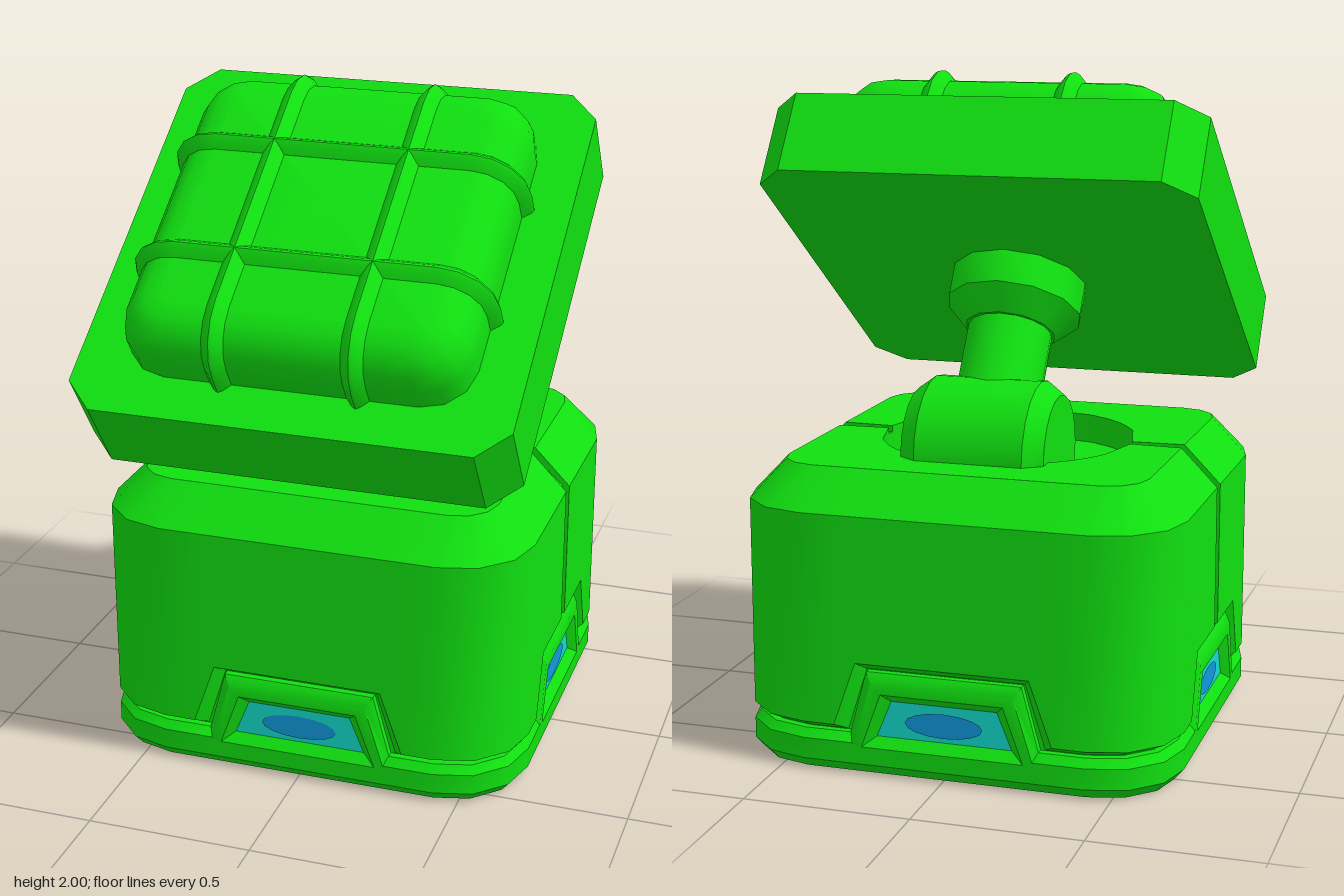
import * as THREE from 'three';
import { toCreasedNormals } from 'three/addons/utils/BufferGeometryUtils.js';

const mat = (name, color) => Object.assign(new THREE.MeshStandardMaterial({ color }), { name });

// Skin a surface over rows of points; all rows have the same length.
function loft(rows, closed = true) {
  const n = rows[0].length, index = [];
  for (let i = 0; i + 1 < rows.length; i++) {
    for (let j = 0; j < (closed ? n : n - 1); j++) {
      const k = (j + 1) % n, a = i * n + j, b = i * n + k, c = a + n, d = b + n;
      index.push(a, b, d, a, d, c);
    }
  }
  const g = new THREE.BufferGeometry();
  g.setAttribute('position', new THREE.Float32BufferAttribute(rows.flat(2), 3));
  g.setIndex(index);
  return toCreasedNormals(g, 0.65);
}

// Rounded square outline. cut = [outerT, innerT, innerY] shifts the height in
// the middle of each side; seam dents the left and right sides.
function ring(h, r, y, { seg = 3, cut = [0.3, 0.26, y], seam = 0, drop = 0 } = {}) {
  const pts = [], [a, b, yi] = cut, w = 0.022;
  for (let k = 0; k < 4; k++) {
    const d = k % 2 ? seam : 0, dy = k % 2 ? drop : 0;
    const side = [[-a, y, h], [-b, yi, h], [-w, yi, h], [-w, yi - dy, h - d],
      [w, yi - dy, h - d], [w, yi, h], [b, yi, h], [a, y, h]];
    for (let i = 0; i <= seg; i++) {
      const t = (i / seg) * Math.PI / 2;
      side.push([h - r + r * Math.sin(t), y, h - r + r * Math.cos(t)]);
    }
    const s = [0, 1, 0, -1][k], c = [1, 0, -1, 0][k];
    for (const [x, py, z] of side) pts.push([x * c + z * s, py, -x * s + z * c]);
  }
  return pts;
}
const point = (row, y) => row.map(() => [0, y, 0]);

// Symmetric trapezoid loop standing on a side face.
const trapezoid = (xb, yb, xt, yt, z) => [[-xb, yb, z], [xb, yb, z], [xt, yt, z], [-xt, yt, z]];

// Half outline of the cushion, grown by e, as [along, height] pairs.
function cushionProfile(e) {
  const R = 0.13 + e, arc = [[0.52 + e, 0.13]];
  for (let i = 0; i <= 4; i++) {
    const t = (i / 4) * Math.PI / 2;
    arc.push([0.39 + R * Math.cos(t), 0.195 + R * Math.sin(t)]);
  }
  return arc;
}

export function createModel() {
  const green = mat('green', 0x10e010);
  const teal = mat('teal', 0x12dccc);
  const blue = mat('blue', 0x1199dd);
  const model = new THREE.Group();
  const add = (parent, name, geo, m = green) => {
    const mesh = new THREE.Mesh(geo, m);
    mesh.name = name;
    parent.add(mesh);
    return mesh;
  };

  // Base: inner core, bottom band and outer shell
  const base = new THREE.Group();
  base.name = 'base';
  base.position.z = -0.07;
  model.add(base);
  add(base, 'core', loft([ring(0.62, 0.2, 0.05), ring(0.62, 0.2, 0.5)]));

  const foot = ring(0.635, 0.21, 0);
  add(base, 'bottomBand', loft([
    point(foot, 0), foot,
    ring(0.662, 0.235, 0.032),
    ring(0.662, 0.235, 0.095, { cut: [0.28, 0.245, 0.085] }),
    ring(0.642, 0.215, 0.12, { cut: [0.28, 0.245, 0.085] }),
    ring(0.61, 0.19, 0.12, { cut: [0.28, 0.245, 0.085] }),
  ]));

  const seam = { seam: 0.022 };
  const topSeam = { seam: 0.015, drop: 0.02 };
  const rim = ring(0.55, 0.12, 0.89, topSeam);
  const circle = (r, y) => rim.map(([x, py, z]) => {
    const l = Math.hypot(x, z);
    return [x / l * r, y + (py - 0.89), z / l * r];
  });
  const well = circle(0.39, 0.8);
  add(base, 'shell', loft([
    ring(0.62, 0.2, 0.122, { cut: [0.3, 0.24, 0.312], ...seam }),
    ring(0.662, 0.235, 0.145, { cut: [0.33, 0.262, 0.338], ...seam }),
    ring(0.662, 0.235, 0.775, seam),
    rim, circle(0.39, 0.89), well, point(well, 0.8),
  ]));

  // Window frames with glass on all four sides
  const frameGeo = loft([
    trapezoid(0.295, 0.085, 0.235, 0.31, -0.045),
    trapezoid(0.295, 0.085, 0.235, 0.31, -0.02),
    trapezoid(0.275, 0.085, 0.215, 0.28, 0),
    trapezoid(0.245, 0.085, 0.185, 0.25, 0),
    trapezoid(0.205, 0.115, 0.16, 0.225, -0.025),
  ]);
  const pane = new THREE.Shape(
    trapezoid(0.205, 0.115, 0.16, 0.225, 0).map(([x, y]) => new THREE.Vector2(x, y)));
  const paneGeo = new THREE.ShapeGeometry(pane).translate(0, 0, -0.025);
  const spotGeo = new THREE.CircleGeometry(1, 16).scale(0.118, 0.037, 1).translate(0, 0.166, -0.021);
  for (let k = 0; k < 4; k++) {
    const panel = new THREE.Group();
    panel.name = 'window';
    panel.rotation.y = k * Math.PI / 2;
    base.add(panel);
    const holder = new THREE.Group();
    holder.position.z = 0.662;
    panel.add(holder);
    add(holder, 'windowFrame', frameGeo);
    add(holder, 'windowGlass', paneGeo, teal);
    add(holder, 'windowSpot', spotGeo, blue);
  }

  // Pivot drum sunk into the well
  const drum = [[0, -0.22], [0.175, -0.22], [0.215, -0.165], [0.215, 0.165], [0.175, 0.22], [0, 0.22]];
  const drumGeo = new THREE.LatheGeometry(drum.map(p => new THREE.Vector2(...p)), 20);
  add(model, 'pivotDrum', toCreasedNormals(drumGeo.rotateZ(Math.PI / 2), 0.6)).position.set(0, 0.89, -0.27);

  // Tilted head: arm, collar, plate, cushion and ribs
  const head = new THREE.Group();
  head.name = 'head';
  head.position.set(0, 1.461, 0.12);
  head.rotation.x = 0.607;
  model.add(head);
  add(head, 'arm', new THREE.CylinderGeometry(0.13, 0.13, 0.42, 16)).position.y = -0.48;
  const collar = [[0, -0.305], [0.14, -0.305], [0.21, -0.235], [0.21, -0.12]];
  add(head, 'collar', toCreasedNormals(
    new THREE.LatheGeometry(collar.map(p => new THREE.Vector2(...p)), 12), 0.6));

  const low = ring(0.66, 0.09, -0.13, { seg: 1 }), high = ring(0.66, 0.09, 0.13, { seg: 1 });
  add(head, 'plate', loft([point(low, -0.13), low, high, point(high, 0.13)]));

  const layers = cushionProfile(0).map(([h, y]) => ring(h, 0.14 - (0.52 - h) * 0.8, y));
  add(head, 'cushion', loft([...layers, point(layers[0], 0.325)]));

  // Peaked ribs wrapping over the cushion, two each way
  const ribRow = (x, e) => {
    const half = cushionProfile(e);
    return [...half.map(([z, y]) => [x, y, z]), ...half.reverse().map(([z, y]) => [x, y, -z])];
  };
  const ribGeo = loft([ribRow(0.036, -0.003), ribRow(0.012, 0.024), ribRow(0, 0.031),
    ribRow(-0.012, 0.024), ribRow(-0.036, -0.003)].reverse(), false);
  // Rows run left to right while columns run front to back, so flip the faces outward
  const p = ribGeo.attributes.position, probe = new THREE.Vector3().fromBufferAttribute(ribGeo.attributes.normal, 0);
  if (probe.dot(new THREE.Vector3().fromBufferAttribute(p, 0)) < 0) ribGeo.scale(-1, 1, 1);
  const ribMat = green.clone();
  ribMat.name = 'green rib';
  ribMat.side = THREE.DoubleSide;
  for (const turn of [0, Math.PI / 2]) {
    const set = new THREE.Group();
    set.name = 'ribs';
    set.rotation.y = turn;
    head.add(set);
    for (const x of [-0.205, 0.205]) add(set, 'rib', ribGeo, ribMat).position.x = x;
  }
  return model;
}
